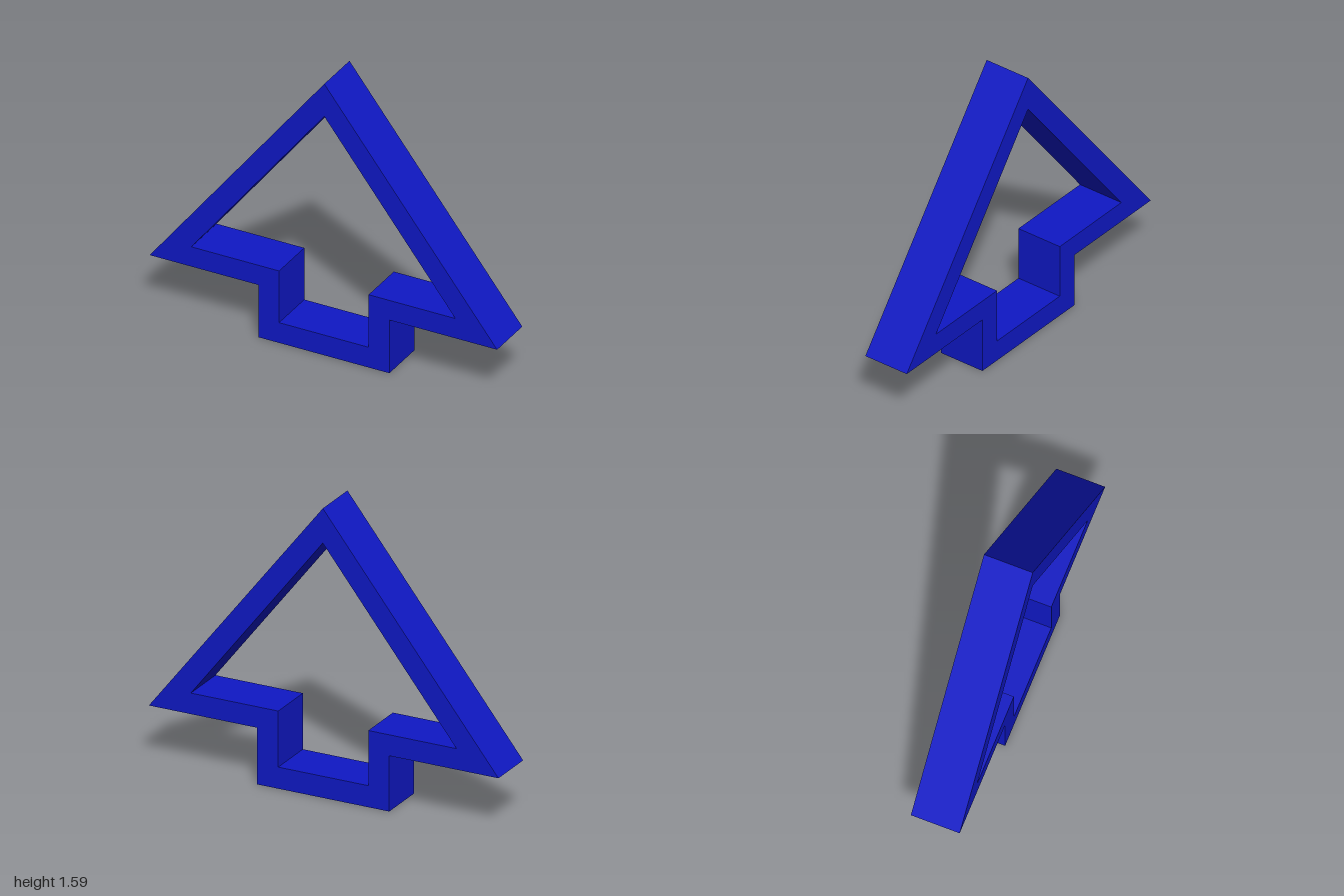
import * as THREE from 'three';

const DEPTH = 0.265;

// Outer and inner outlines of the tree, counter-clockwise from the left tip
const OUTER = [[-1, 0.305], [-0.375, 0.305], [-0.375, 0], [0.38, 0], [0.38, 0.31], [1, 0.31], [0.005, 1.585]];
const INNER = [[-0.76, 0.42], [-0.255, 0.42], [-0.255, 0.118], [0.26, 0.118], [0.26, 0.425], [0.76, 0.425], [0.005, 1.395]];

const toPoints = (list) => list.map(([x, y]) => new THREE.Vector2(x, y));

export function createModel() {
  const group = new THREE.Group();
  group.name = 'treeCutter';

  // Constant-width wall following the tree outline, open through the middle
  const shape = new THREE.Shape(toPoints(OUTER));
  shape.holes.push(new THREE.Path(toPoints(INNER)));
  const geometry = new THREE.ExtrudeGeometry(shape, { depth: DEPTH, bevelEnabled: false });
  geometry.translate(0, 0, -DEPTH / 2);

  const frame = new THREE.Mesh(geometry, new THREE.MeshStandardMaterial({ color: 0x0f18c4 }));
  frame.name = 'treeFrame';
  group.add(frame);
  return group;
}
